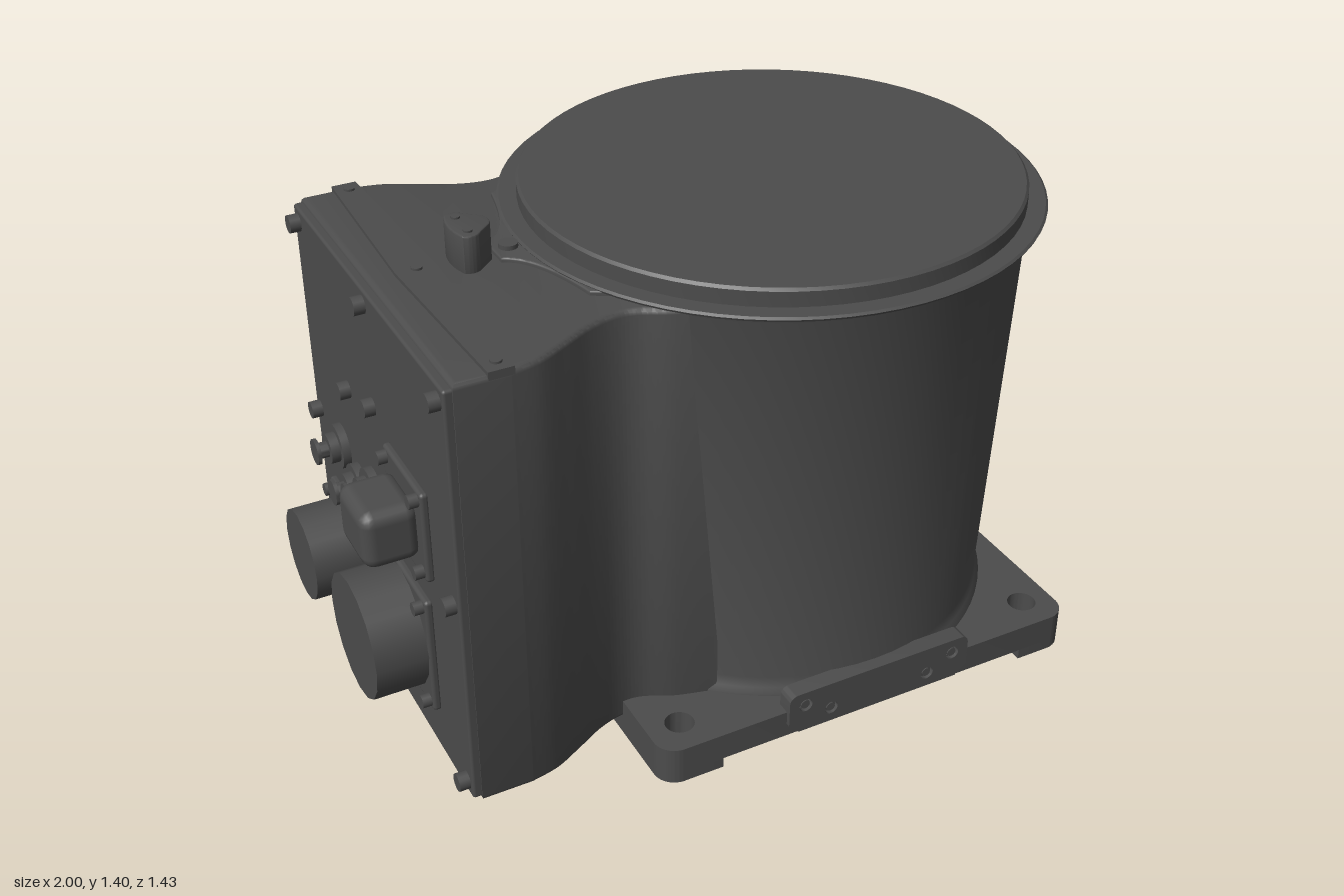
import * as THREE from 'three';
import { toCreasedNormals } from 'three/addons/utils/BufferGeometryUtils.js';
import { RoundedBoxGeometry } from 'three/addons/geometries/RoundedBoxGeometry.js';

const material = new THREE.MeshStandardMaterial({ color: 0x4c4c4c });
const CX = 0.285; // drum axis

export function createModel() {
  const root = new THREE.Group();

  const add = (name, geo, x = 0, y = 0, z = 0, parent = root) => {
    const m = new THREE.Mesh(geo, material);
    m.name = name;
    m.position.set(x, y, z);
    parent.add(m);
    return m;
  };
  const box = (w, h, d, r = 0.01) => new RoundedBoxGeometry(w, h, d, 2, r);
  const cyl = (r, h, n = 20) => new THREE.CylinderGeometry(r, r, h, n);
  const cylX = (r, h, n = 20) => cyl(r, h, n).rotateZ(Math.PI / 2);
  const lathe = (pts, n = 72) => toCreasedNormals(
    new THREE.LatheGeometry(pts.map(p => new THREE.Vector2(...p)), n), 0.6);
  // plan outline (x, -z) raised from y0 to y1
  const prism = (shape, y0, y1, bevel = 0) => {
    const g = new THREE.ExtrudeGeometry(shape, {
      depth: y1 - y0 - 2 * bevel, bevelEnabled: bevel > 0, bevelSize: bevel,
      bevelThickness: bevel, bevelOffset: -bevel, bevelSegments: 3, curveSegments: 24 });
    return toCreasedNormals(g.rotateX(-Math.PI / 2).translate(0, y0 + bevel, 0), 0.6);
  };
  // rectangle with separate corner radii on its -x and +x ends
  const rect = (x0, x1, hz, rl, rr) => {
    const s = new THREE.Shape();
    s.moveTo(x0 + rl, -hz); s.lineTo(x1 - rr, -hz);
    if (rr) s.absarc(x1 - rr, -hz + rr, rr, -Math.PI / 2, 0);
    s.lineTo(x1, hz - rr);
    if (rr) s.absarc(x1 - rr, hz - rr, rr, 0, Math.PI / 2);
    s.lineTo(x0 + rl, hz);
    if (rl) s.absarc(x0 + rl, hz - rl, rl, Math.PI / 2, Math.PI);
    s.lineTo(x0, -hz + rl);
    if (rl) s.absarc(x0 + rl, -hz + rl, rl, Math.PI, Math.PI * 1.5);
    return s;
  };
  const hole = (s, x, z, r) => s.holes.push(new THREE.Path().absarc(x, z, r, 0, Math.PI * 2, true));

  // base plate with mounting holes and two rails underneath
  const plate = rect(-0.365, 0.92, 0.647, 0.06, 0.06);
  const leftRail = rect(-0.365, -0.19, 0.647, 0.06, 0);
  const rightRail = rect(0.76, 0.92, 0.647, 0, 0.06);
  for (const z of [-0.55, 0.55]) {
    for (const s of [plate, leftRail]) hole(s, -0.27, z, 0.04);
    for (const s of [plate, rightRail]) hole(s, 0.83, z, 0.04);
  }
  hole(plate, CX, 0, 0.51);
  add('basePlate', prism(plate, 0.03, 0.11));
  add('baseRail', prism(leftRail, 0, 0.03));
  add('baseRail', prism(rightRail, 0, 0.03));

  // bottom cover and its screws
  add('bottomCover', lathe([[0, 0.045], [0.46, 0.045], [0.47, 0.055], [0.53, 0.055], [0.53, 0.1], [0, 0.1]]), CX);
  for (let i = 0; i < 8; i++) {
    const a = Math.PI / 8 + i * Math.PI / 4;
    add('coverScrew', cyl(0.023, 0.045, 12), CX + 0.4 * Math.cos(a), 0.032, 0.4 * Math.sin(a));
  }

  // tapered drum with filleted foot and rolled flange, then lid
  add('drum', lathe([[0, 0.1], [0.64, 0.1], [0.64, 0.115], [0.63, 0.13], [0.624, 0.16],
    [0.668, 1.27], [0.673, 1.285], [0.69, 1.293], [0.713, 1.3], [0.716, 1.306], [0.71, 1.311],
    [0.66, 1.311], [0, 1.311]]), CX);
  add('lid', lathe([[0, 1.305], [0.664, 1.305], [0.664, 1.352], [0.657, 1.359], [0, 1.359]]), CX);

  // side housing that narrows into the drum
  const side = [[-0.68, 0.528], [-0.6, 0.51], [-0.52, 0.47], [-0.44, 0.428], [-0.37, 0.408], [-0.31, 0.413], [-0.23, 0.45], [-0.12, 0.48]];
  const flank = side.map(p => new THREE.Vector2(...p));
  const body = new THREE.Shape();
  body.moveTo(-0.82, -0.528);
  body.lineTo(-0.68, -0.528);
  body.splineThru(flank.slice(1).map(p => new THREE.Vector2(p.x, -p.y)));
  body.lineTo(-0.12, 0.48);
  body.splineThru(flank.slice(0, -1).reverse());
  body.lineTo(-0.82, 0.528);
  body.closePath();
  add('housing', prism(body, 0.055, 1.292, 0.015));

  // raised neck bridging the housing top to the flange
  const neck = new THREE.Shape();
  neck.moveTo(-0.5, -0.05);
  neck.quadraticCurveTo(-0.42, -0.08, -0.38, -0.3);
  neck.lineTo(-0.2, -0.4); neck.lineTo(-0.2, 0.4); neck.lineTo(-0.38, 0.3);
  neck.quadraticCurveTo(-0.42, 0.08, -0.5, 0.05);
  neck.closePath();
  add('neckRib', prism(neck, 1.27, 1.304, 0.005));
  add('neckScrew', cyl(0.025, 0.02), -0.46, 1.306, 0);

  // narrow strip on the housing top
  const strip = new THREE.Shape([[-0.735, -0.528], [-0.67, -0.528], [-0.65, 0], [-0.67, 0.528],
    [-0.735, 0.528], [-0.755, 0]].map(p => new THREE.Vector2(...p)));
  add('topStrip', prism(strip, 1.28, 1.302));
  for (const z of [-0.49, 0, 0.49]) add('stripScrew', cyl(0.015, 0.01, 12), -0.7, 1.303, z);

  // rounded triangular sensor block
  const sensor = new THREE.Shape();
  sensor.moveTo(-0.6, -0.065);
  sensor.quadraticCurveTo(-0.57, -0.08, -0.55, -0.055);
  sensor.lineTo(-0.515, -0.025);
  sensor.quadraticCurveTo(-0.5, 0, -0.515, 0.025);
  sensor.lineTo(-0.55, 0.055);
  sensor.quadraticCurveTo(-0.57, 0.08, -0.6, 0.065);
  sensor.quadraticCurveTo(-0.625, 0, -0.6, -0.065);
  add('sensorBlock', prism(sensor, 1.28, 1.392, 0.004));
  for (const z of [-0.04, 0.04]) add('sensorScrew', cyl(0.012, 0.01, 12), -0.578, 1.392, z);

  // connector panel and its edge bolts
  add('connectorPanel', box(0.03, 1.21, 1.05, 0.008), -0.828, 0.675, 0);
  const panelBolts = [[0.11, -0.49], [0.11, 0.49], [1.24, -0.49], [1.24, 0.49], [0.67, -0.49],
    [0.67, 0.49], [1.24, 0], [0.11, 0], [0.95, 0], [0.89, -0.2]];
  for (const [y, z] of panelBolts) {
    add('panelBolt', cylX(0.024, 0.04, 16), -0.852, y, z);
  }

  // large connectors on square flanges
  const connector = (y, z, half, plug) => {
    const g = new THREE.Group();
    g.name = 'connector';
    g.position.set(0, y, z);
    root.add(g);
    add('connectorFlange', box(0.025, half * 2, half * 2, 0.01), -0.85, 0, 0, g);
    add('connectorPlug', plug, -0.925, 0, 0, g);
    for (const sy of [-1, 1]) for (const sz of [-1, 1]) {
      add('flangeScrew', cylX(0.018, 0.03, 12), -0.872, sy * (half - 0.025), sz * (half - 0.025), g);
    }
  };
  connector(0.36, -0.28, 0.135, cylX(0.13, 0.15, 16));
  connector(0.39, 0.155, 0.175, cylX(0.17, 0.15, 16));
  connector(0.78, 0.235, 0.13, box(0.15, 0.16, 0.19, 0.035));

  // small cable glands
  for (const [y, z] of [[0.66, -0.3], [0.61, -0.17], [0.67, -0.05]]) {
    add('gland', lathe([[0, 0], [0.062, 0], [0.062, 0.025], [0.042, 0.025], [0.042, 0.05],
      [0.022, 0.05], [0.022, 0.075], [0.036, 0.075], [0.036, 0.085], [0, 0.085]], 24)
      .rotateZ(Math.PI / 2), -0.84, y, z);
  }

  // front bracket with four bolt holes
  const bracket = new THREE.Shape();
  bracket.moveTo(0.03, 0.04); bracket.lineTo(0.53, 0.04); bracket.lineTo(0.565, 0.07);
  bracket.lineTo(0.565, 0.14); bracket.quadraticCurveTo(0.565, 0.168, 0.54, 0.168);
  bracket.lineTo(0.03, 0.168); bracket.quadraticCurveTo(0, 0.168, 0, 0.14); bracket.lineTo(0, 0.07);
  for (const [x, y] of [[0.05, 0.125], [0.13, 0.085], [0.435, 0.085], [0.515, 0.125]]) {
    hole(bracket, x, y, 0.02);
    add('bracketBolt', cyl(0.013, 0.03, 12).rotateX(Math.PI / 2), x, y, 0.642);
  }
  add('frontBracket', toCreasedNormals(new THREE.ExtrudeGeometry(bracket,
    { depth: 0.05, bevelEnabled: false }), 0.6), 0, 0, 0.61);

  // rear lugs
  for (const x of [0.03, 0.54]) {
    add('rearLug', box(0.08, 0.075, 0.09, 0.015), x, 0.13, -0.612);
    add('lugBolt', cyl(0.02, 0.012, 14).rotateX(Math.PI / 2), x, 0.132, -0.657);
  }
  return root;
}
